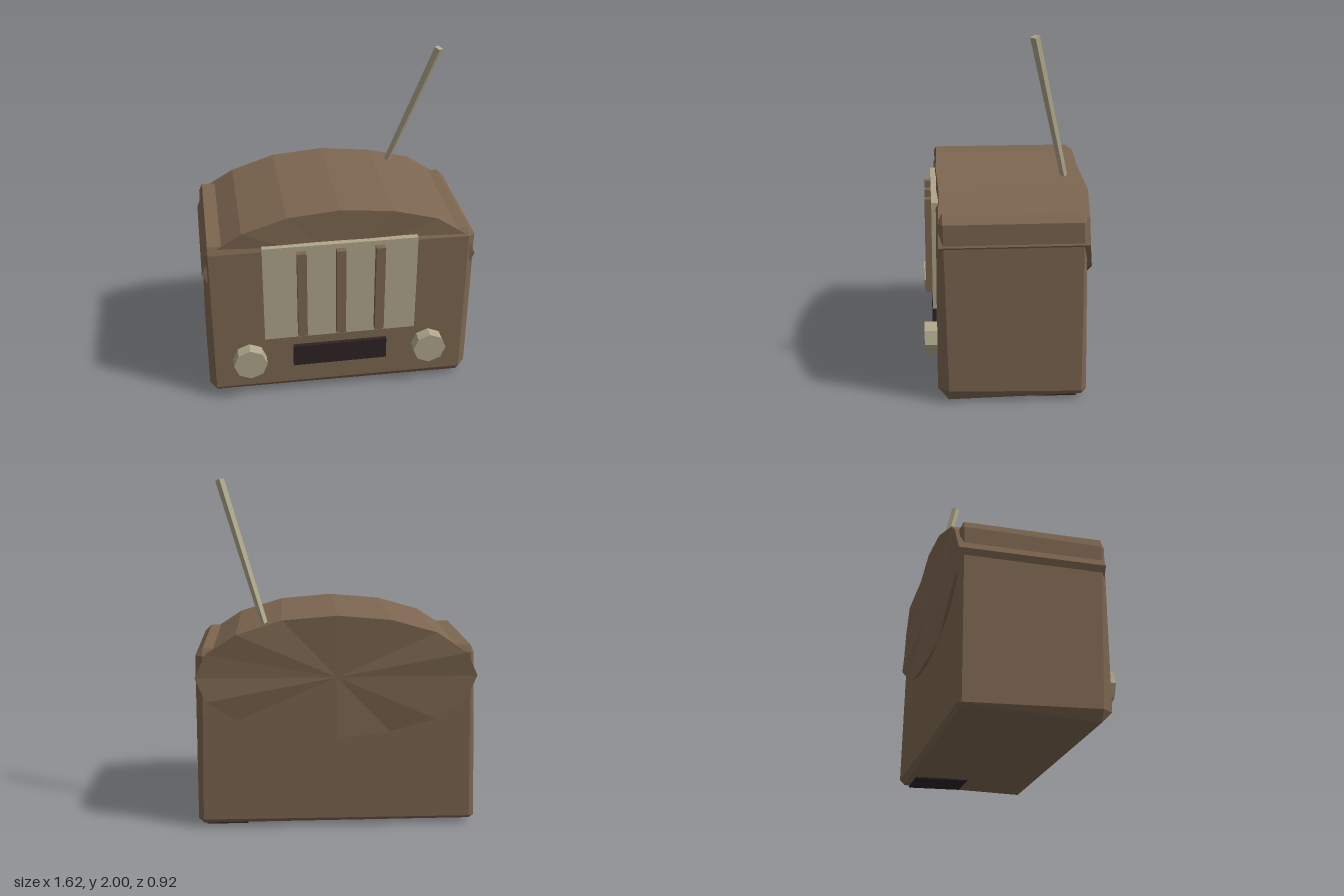
import * as THREE from 'three';
import { ConvexGeometry } from 'three/addons/geometries/ConvexGeometry.js';

function material(name, color) {
  const m = new THREE.MeshStandardMaterial({ color });
  m.name = name;
  return m;
}

// Faceted mesh with one normal per face
function addPart(group, name, geometry, mat, x = 0, y = 0, z = 0) {
  const flat = geometry.index ? geometry.toNonIndexed() : geometry;
  flat.computeVertexNormals();
  const mesh = new THREE.Mesh(flat, mat);
  mesh.name = name;
  mesh.position.set(x, y, z);
  group.add(mesh);
  return mesh;
}

// Slightly crooked box with bevelled corners: three points per corner
function cabinetGeometry() {
  const corners = [
    // x, y, z, bevel along x, y, z
    [-0.805, 0.015, 0.385, 0.04, 0.06, 0.06],
    [0.805, 0.0, 0.39, 0.05, 0.07, 0.06],
    [-0.81, 0.025, -0.435, 0.03, 0.02, 0.02],
    [0.805, 0.02, -0.435, 0.03, 0.03, 0.03],
    [-0.785, 1.07, 0.385, 0.02, 0.05, 0.02],
    [0.80, 1.06, 0.385, 0.04, 0.04, 0.03],
    [-0.785, 1.07, -0.43, 0.02, 0.04, 0.02],
    [0.80, 1.06, -0.425, 0.04, 0.04, 0.02],
  ];
  const points = [];
  for (const [x, y, z, bx, by, bz] of corners) {
    const ix = x - Math.sign(x) * bx;
    const iy = y + (y < 0.5 ? by : -by);
    const iz = z - Math.sign(z) * bz;
    points.push(
      new THREE.Vector3(x, iy, iz),
      new THREE.Vector3(ix, y, iz),
      new THREE.Vector3(ix, iy, z)
    );
  }
  return new ConvexGeometry(points);
}

// Elliptical drum forming the domed top, with an uneven back rim
function domeGeometry() {
  const geo = new THREE.CylinderGeometry(1, 1, 1, 16, 1);
  geo.rotateX(Math.PI / 2);
  const p = geo.attributes.position;
  for (let i = 0; i < p.count; i++) {
    const x = p.getX(i), y = p.getY(i), front = p.getZ(i) > 0;
    const k = Math.round(Math.atan2(y, x) / (Math.PI / 8));
    const onRim = Math.hypot(x, y) > 0.5;
    const wobble = onRim ? 0.012 * Math.sin(k * 2.3 + 0.6) : 0;
    p.setXYZ(i, x * 0.805, 0.895 + y * 0.355, front ? 0.375 + wobble * 0.5 : -0.445 + wobble);
  }
  return geo;
}

export function createModel() {
  const radio = new THREE.Group();
  radio.name = 'radio';

  const brown = material('brown', 0x7c6650);
  const cream = material('cream', 0xafa68a);
  const dark = material('dark', 0x2e2224);

  // Casing
  addPart(radio, 'cabinet', cabinetGeometry(), brown);
  addPart(radio, 'domedTop', domeGeometry(), brown);

  // Speaker panel with three vertical bars
  addPart(radio, 'speakerPanel', new THREE.BoxGeometry(0.91, 0.63, 0.06), cream, -0.005, 0.738, 0.38);
  for (const x of [-0.235, -0.005, 0.225]) {
    addPart(radio, 'speakerBar', new THREE.BoxGeometry(0.055, 0.57, 0.07), brown, x, 0.738, 0.413);
  }

  // Tuning window
  addPart(radio, 'tuningWindow', new THREE.BoxGeometry(0.57, 0.14, 0.06), dark, -0.005, 0.28, 0.382);

  // Eight-sided knobs
  for (const x of [-0.555, 0.542]) {
    const knob = new THREE.CylinderGeometry(0.101, 0.101, 0.1, 8);
    knob.rotateX(Math.PI / 2);
    addPart(radio, 'knob', knob, cream, x, 0.28, 0.41);
  }

  // Dark plate under the cabinet
  const plate = addPart(radio, 'bottomPlate', new THREE.BoxGeometry(0.24, 0.009, 0.32), dark, 0.64, 0.01, -0.22);
  plate.rotation.x = -0.02;

  // Slanted square aerial
  const base = new THREE.Vector3(0.4, 1.16, -0.35);
  const tip = new THREE.Vector3(0.657, 1.992, -0.143);
  const dir = tip.clone().sub(base);
  const rod = new THREE.CylinderGeometry(0.026, 0.02, dir.length(), 4);
  const aerial = addPart(radio, 'aerial', rod, cream);
  aerial.position.copy(base).add(tip).multiplyScalar(0.5);
  aerial.quaternion.setFromUnitVectors(new THREE.Vector3(0, 1, 0), dir.normalize());

  return radio;
}
